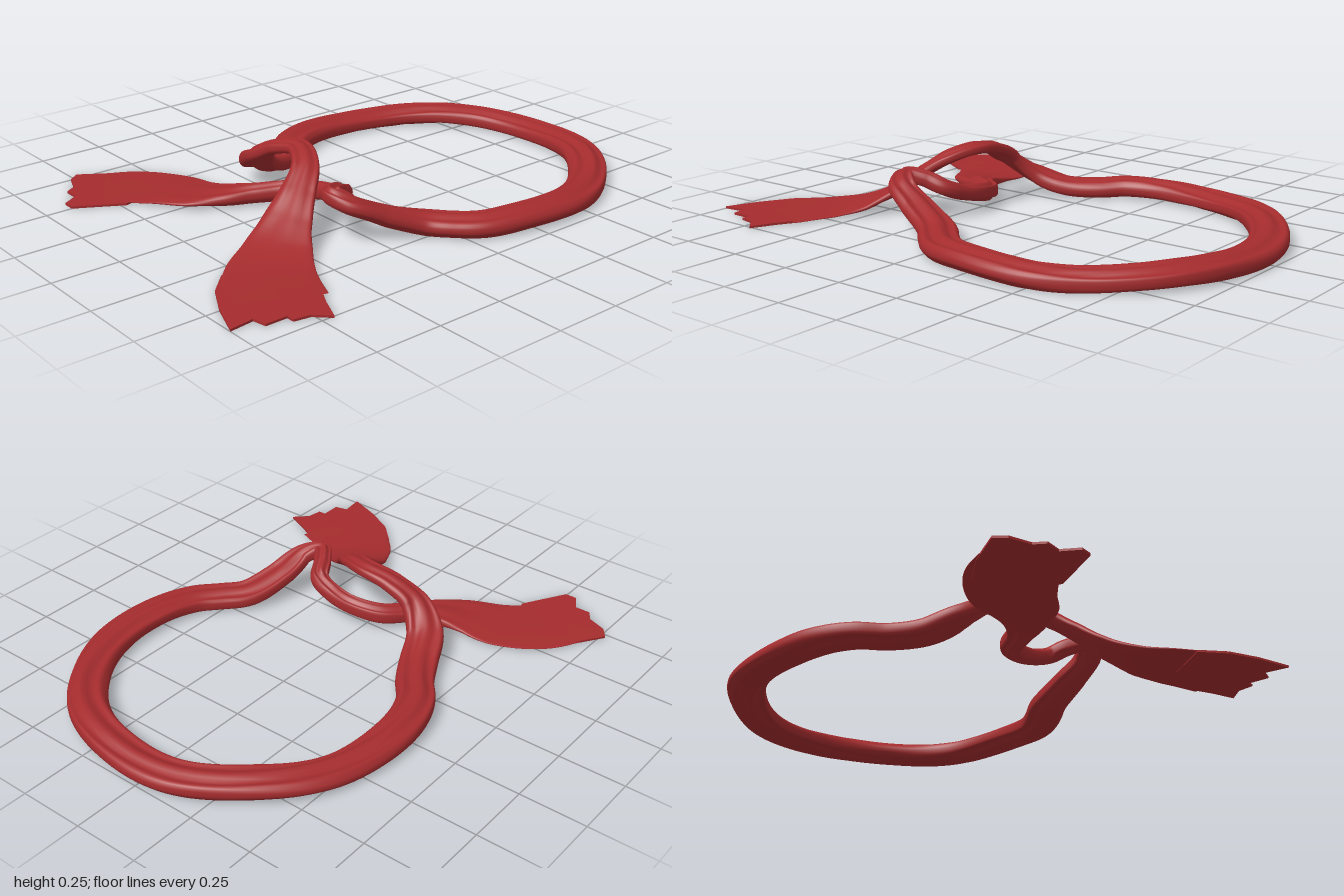
import * as THREE from 'three';

const AROUND = 36;

// Sweeps a soft, flattened fold of cloth through stations [x, y, z, width, thickness].
function sweepCloth(stations, steps) {
  const path = new THREE.CatmullRomCurve3(stations.map(s => new THREE.Vector3(s[0], s[1], s[2])));
  const size = new THREE.CatmullRomCurve3(
    stations.map(s => new THREE.Vector3(s[3], s[4], 0)), false, 'catmullrom', 0.4);
  const up = new THREE.Vector3(0, 1, 0);
  const positions = [], index = [];
  for (let i = 0; i <= steps; i++) {
    const t = i / steps;
    const centre = path.getPoint(t), tangent = path.getTangent(t), { x: w, y: h } = size.getPoint(t);
    const side = new THREE.Vector3().crossVectors(tangent, up).normalize();
    const normal = new THREE.Vector3().crossVectors(side, tangent);
    const phase = 1.2 * Math.sin(t * 23) + 0.7 * Math.sin(t * 51);
    const fullness = Math.min(1, h / 0.05);
    for (let j = 0; j < AROUND; j++) {
      const a = (j / AROUND) * Math.PI * 2, c = Math.cos(a), s = Math.sin(a);
      // Lengthwise folds and a slightly uneven edge, fading where the cloth is flat.
      const fold = 1 + fullness * 0.24 * Math.cos(c * 7.5 + phase + (s < 0 ? 1 : 0));
      const edge = 1 + fullness * 0.05 * Math.sin(t * 90 + 2 * c);
      const u = Math.sign(c) * Math.pow(Math.abs(c), 0.85) * w / 2 * edge;
      const v = Math.sign(s) * Math.pow(Math.abs(s), 0.65) * h / 2 * fold;
      const p = centre.clone().addScaledVector(side, u).addScaledVector(normal, v);
      positions.push(p.x, Math.max(p.y, 0), p.z);
      if (i < steps) {
        const k = (j + 1) % AROUND, r = i * AROUND, n = r + AROUND;
        index.push(r + j, n + j, r + k, r + k, n + j, n + k);
      }
    }
  }
  const geometry = new THREE.BufferGeometry();
  geometry.setAttribute('position', new THREE.Float32BufferAttribute(positions, 3));
  geometry.setIndex(index);
  geometry.computeVertexNormals();
  return geometry;
}

// Thin flat piece of cloth on the ground from an outline of [x, z].
function flatCloth(outline) {
  const shape = new THREE.Shape(outline.map(([x, z]) => new THREE.Vector2(x, -z)));
  return new THREE.ExtrudeGeometry(shape, { depth: 0.008, bevelEnabled: false }).rotateX(-Math.PI / 2);
}

export function createModel() {
  const group = new THREE.Group();
  const cloth = new THREE.MeshStandardMaterial({ color: 0xa52c2e, side: THREE.DoubleSide });
  cloth.name = 'red cloth';
  const add = (name, geometry) => {
    const mesh = new THREE.Mesh(geometry, cloth);
    mesh.name = name;
    group.add(mesh);
  };

  // Right tail, passing under the knot and round the small turn into the neck loop
  const underStrand = [
    [-0.58, 0.005, 0.715, 0.31, 0.008],
    [-0.53, 0.006, 0.63, 0.31, 0.008],
    [-0.42, 0.008, 0.55, 0.29, 0.012],
    [-0.29, 0.018, 0.50, 0.23, 0.025],
    [-0.19, 0.03, 0.435, 0.15, 0.045],
    [-0.12, 0.04, 0.36, 0.09, 0.055],
    [-0.05, 0.05, 0.27, 0.08, 0.06],
    [0.05, 0.07, 0.225, 0.07, 0.055],
    [0.15, 0.09, 0.225, 0.07, 0.05],
    [0.23, 0.12, 0.24, 0.07, 0.05],
    [0.265, 0.15, 0.30, 0.07, 0.05],
    [0.31, 0.165, 0.355, 0.07, 0.05],
    [0.37, 0.14, 0.32, 0.10, 0.05],
    [0.405, 0.085, 0.21, 0.13, 0.055],
    [0.46, 0.04, 0.08, 0.14, 0.06],
    [0.53, 0.033, 0.0, 0.14, 0.06],
  ];

  // Round neck loop lying flat
  const loop = [];
  for (let i = 0; i <= 16; i++) {
    const a = THREE.MathUtils.degToRad(115 - i * 230 / 16);
    const lift = 0.006 * Math.sin(i * 1.3);
    loop.push([0.065 + 0.59 * Math.sin(a), 0.034 + lift, -0.34 - 0.59 * Math.cos(a), 0.142, 0.062]);
  }

  // Other end arching over the knot and spreading into the left tail
  const overStrand = [
    [-0.40, 0.033, 0.01, 0.14, 0.06],
    [-0.335, 0.04, 0.12, 0.14, 0.06],
    [-0.28, 0.085, 0.23, 0.14, 0.055],
    [-0.20, 0.15, 0.285, 0.12, 0.05],
    [-0.10, 0.205, 0.275, 0.10, 0.045],
    [0.02, 0.23, 0.265, 0.09, 0.04],
    [0.12, 0.205, 0.32, 0.10, 0.04],
    [0.18, 0.145, 0.40, 0.13, 0.04],
    [0.23, 0.08, 0.48, 0.18, 0.035],
    [0.29, 0.03, 0.57, 0.24, 0.025],
    [0.37, 0.01, 0.66, 0.29, 0.012],
    [0.47, 0.006, 0.73, 0.32, 0.008],
    [0.56, 0.005, 0.77, 0.32, 0.008],
  ];
  add('tied scarf', sweepCloth([...underStrand, ...loop, ...overStrand], 440));

  // Ragged ends of the two tails
  add('rightTailEnd', flatCloth([
    [-0.69, 0.61], [-0.77, 0.73], [-0.74, 0.77], [-0.665, 0.80], [-0.64, 0.84],
    [-0.58, 0.84], [-0.545, 0.90], [-0.50, 0.90], [-0.40, 0.73], [-0.44, 0.62], [-0.60, 0.52],
  ]));
  add('leftTailEnd', flatCloth([
    [0.58, 0.62], [0.67, 0.67], [0.76, 0.71], [0.71, 0.76], [0.70, 0.82], [0.67, 0.82],
    [0.67, 0.90], [0.62, 0.91], [0.63, 1.0], [0.50, 0.95], [0.39, 0.89], [0.31, 0.81], [0.42, 0.66],
  ]));
  return group;
}
